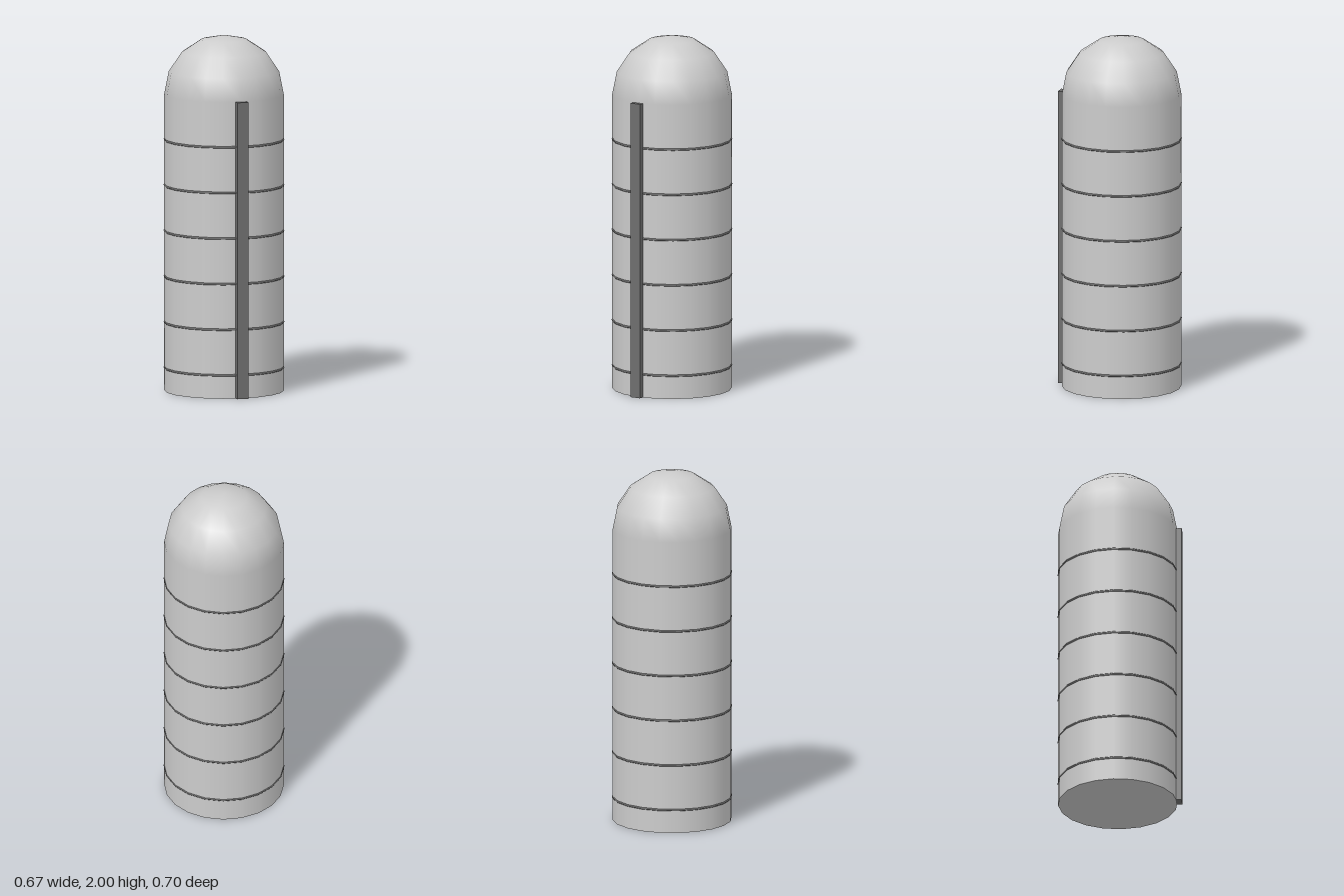
import * as THREE from 'three';

const RADIUS = 0.333, WALL = 1.667, SIDES = 20, CENTRE_Z = -0.012;

export function createModel() {
  const model = new THREE.Group();
  model.name = 'silo';
  const light = new THREE.MeshStandardMaterial({ color: 0xcccccc });
  const dark = new THREE.MeshStandardMaterial({ color: 0x6e6e6e });

  const add = (name, geometry, material, y, z = CENTRE_Z) => {
    const mesh = new THREE.Mesh(geometry, material);
    mesh.name = name;
    mesh.position.set(0, y, z);
    model.add(mesh);
    return mesh;
  };

  // Round wall, closed at the bottom
  add('wall', new THREE.CylinderGeometry(RADIUS, RADIUS, WALL, SIDES), light, WALL / 2);

  // Half-sphere roof
  add('domeRoof',
    new THREE.SphereGeometry(RADIUS, SIDES, 4, 0, Math.PI * 2, 0, Math.PI / 2), light, WALL);

  // Evenly spaced hoops around the wall
  const hoop = new THREE.TorusGeometry(RADIUS - 0.003, 0.0067, 6, SIDES).rotateX(Math.PI / 2);
  for (let i = 0; i < 6; i++) add(`hoop${i + 1}`, hoop, dark, 0.131 + i * 0.2565);

  // Vertical chute on the front
  add('chute', new THREE.BoxGeometry(0.064, WALL, 0.034), dark, WALL / 2, 0.33);

  return model;
}
